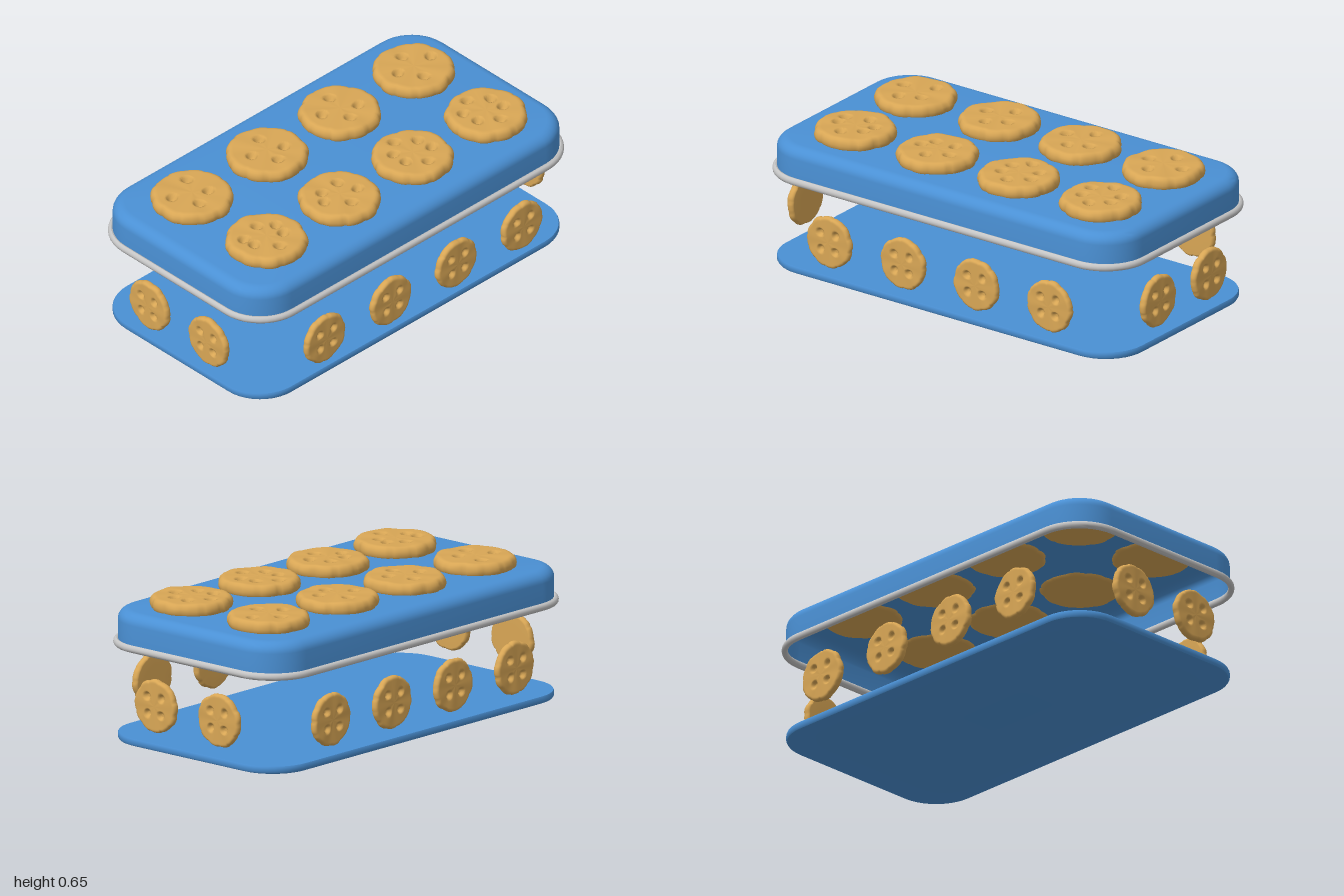
import * as THREE from 'three';
import { mergeVertices, toCreasedNormals } from 'three/addons/utils/BufferGeometryUtils.js';

const blue = new THREE.MeshStandardMaterial({ name: 'blue enamel', color: 0x4a90d4, side: THREE.DoubleSide });
const silver = new THREE.MeshStandardMaterial({ name: 'silver metal', color: 0xc4c4c4 });
const biscuit = new THREE.MeshStandardMaterial({ name: 'biscuit', color: 0xd8a655 });

// Rounded rectangle loop, counter-clockwise seen from above.
function roundedLoop(halfX, halfZ, radius, y) {
  const loop = [];
  const steps = 10;
  for (let corner = 0; corner < 4; corner++) {
    const cx = (corner === 0 || corner === 3 ? 1 : -1) * (halfX - radius);
    const cz = (corner < 2 ? -1 : 1) * (halfZ - radius);
    for (let i = 0; i <= steps; i++) {
      const a = (corner + i / steps) * Math.PI / 2;
      loop.push([cx + radius * Math.cos(a), y, cz - radius * Math.sin(a)]);
    }
  }
  return loop;
}

// Skin a stack of rounded rectangles given as [inset, y]; optionally close the ends.
function loft(halfX, halfZ, radius, sections, capBottom, capTop) {
  const pos = [];
  const index = [];
  sections.forEach(([d, y]) => pos.push(...roundedLoop(halfX - d, halfZ - d, radius - d, y)));
  const n = pos.length / sections.length;
  const last = (sections.length - 1) * n;
  const bottom = pos.push([0, sections[0][1], 0]) - 1;
  const top = pos.push([0, sections[sections.length - 1][1], 0]) - 1;
  for (let j = 0; j < n; j++) {
    const k = (j + 1) % n;
    for (let s = 0; s < last; s += n) {
      index.push(s + j, s + k, s + n + j, s + k, s + n + k, s + n + j);
    }
    if (capBottom) index.push(bottom, k, j);
    if (capTop) index.push(last + j, last + k, top);
  }
  const geo = new THREE.BufferGeometry();
  geo.setAttribute('position', new THREE.Float32BufferAttribute(pos.flat(), 3));
  geo.setIndex(index);
  return toCreasedNormals(geo, 0.6);
}

// Quarter round from a wall up to a flat top.
function roundOver(inset, y, width, height) {
  return Array.from({ length: 8 }, (_, i) => {
    const a = i / 7 * Math.PI / 2;
    return [inset + width * (1 - Math.cos(a)), y + height * Math.sin(a)];
  });
}

// Turned disc with a nibbled edge, uneven surface and pressed holes on its upper face.
function cookieGeometry(radius, thickness, holes, holeRadius, seed) {
  const h = thickness / 2;
  const edge = h * 0.75;
  const profile = [new THREE.Vector2(0, -h), new THREE.Vector2(radius * 0.5, -h)];
  for (let i = 0; i <= 8; i++) {
    const a = (i / 8 - 0.5) * Math.PI;
    profile.push(new THREE.Vector2(radius - edge + edge * Math.cos(a), h * Math.sin(a)));
  }
  const rings = 20;
  for (let i = rings - 1; i >= 0; i--) profile.push(new THREE.Vector2((radius - edge) * i / rings, h));

  let geo = new THREE.LatheGeometry(profile, 80);
  geo.deleteAttribute('uv');
  geo.deleteAttribute('normal');
  const p = geo.attributes.position;
  for (let i = 0; i < p.count; i++) {
    let x = p.getX(i), y = p.getY(i), z = p.getZ(i);
    const t = Math.hypot(x, z) / radius;
    const a = Math.atan2(x, z);
    const nick = (1 - Math.abs(Math.sin(6 * a + seed))) ** 3;
    const wobble = 0.012 * Math.sin(5 * a + 2 * seed) + 0.012 * Math.sin(9 * a - seed) - 0.045 * nick;
    const scale = 1 + 0.01 + wobble * t ** 4;
    x *= scale;
    z *= scale;
    if (y > 0) {
      y += h * 0.05 * t * (Math.sin(7 * a + seed) + Math.sin(4 * a - 3 * seed));
      for (const [hx, hz] of holes) {
        const d = Math.hypot(x - hx, z - hz);
        y -= thickness * 0.5 * (1 - THREE.MathUtils.smoothstep(d, holeRadius * 0.45, holeRadius * 1.15));
      }
    }
    p.setXYZ(i, x, y, z);
  }
  geo = mergeVertices(geo, 1e-5);
  geo.computeVertexNormals();
  return geo;
}

export function createModel() {
  const model = new THREE.Group();
  model.name = 'cookieTin';
  const add = (name, geo, mat, parent = model) => {
    const mesh = new THREE.Mesh(geo, mat);
    mesh.name = name;
    parent.add(mesh);
    return mesh;
  };

  // Base plate with a softened lower edge
  add('base', loft(0.98, 0.525, 0.2,
    [[0.015, 0], [0.005, 0.004], [0, 0.012], [0, 0.03], [0.003, 0.036]], true, true), blue);

  // Hollow lid, open below
  add('lid', loft(0.98, 0.525, 0.2,
    [[0, 0.445], ...roundOver(0, 0.55, 0.055, 0.05)], false, true), blue);

  // Rolled rim around the lid's lower edge
  const rim = Array.from({ length: 13 }, (_, i) => {
    const a = i / 12 * Math.PI * 2;
    return [0.014 - 0.014 * Math.cos(a), 0.447 + 0.017 * Math.sin(a)];
  });
  add('lidRim', loft(1, 0.546, 0.22, rim, false, false), silver);

  // Cookies on the lid: centre and hole positions relative to it
  const lidCookies = [
    [-0.67, -0.22, [[0.05, -0.085], [-0.09, -0.035], [0.06, 0.04], [-0.035, 0.08]]],
    [-0.21, -0.22, [[0.03, -0.08], [-0.08, -0.015], [0.07, 0.035], [-0.015, 0.085]]],
    [0.237, -0.22, [[0.02, -0.085], [-0.09, -0.02], [0.075, 0.04], [-0.015, 0.08]]],
    [0.69, -0.22, [[0.012, -0.085], [-0.085, -0.01], [0.105, 0], [-0.02, 0.085]]],
    [-0.66, 0.24, [[0.02, -0.08], [-0.09, -0.05], [0.085, -0.027], [-0.085, 0.01], [0.07, 0.035], [-0.01, 0.095]]],
    [-0.21, 0.24, [[0.05, -0.065], [-0.05, -0.06], [-0.09, -0.005], [0.085, 0.027], [-0.005, 0.08]]],
    [0.237, 0.24, [[-0.005, -0.11], [0.08, -0.048], [-0.07, -0.048], [-0.07, 0.03], [0.09, 0.03], [0.005, 0.095]]],
    [0.69, 0.24, [[-0.01, -0.11], [-0.09, -0.053], [0.075, -0.048], [-0.08, 0.03], [0.075, 0.03], [0, 0.09]]],
  ];
  const topGroup = new THREE.Group();
  topGroup.name = 'lidCookies';
  model.add(topGroup);
  lidCookies.forEach(([x, z, holes], i) => {
    const cookie = add('lidCookie', cookieGeometry(0.182, 0.064, holes, 0.025, 1.3 * i + 0.4), biscuit, topGroup);
    cookie.position.set(x, 0.62, z);
  });

  // Upright cookies around the sides, facing outwards
  const sideHoles = [[-0.042, -0.042], [0.042, -0.042], [-0.039, 0.036], [0.039, 0.036]];
  const sideGroup = new THREE.Group();
  sideGroup.name = 'sideCookies';
  model.add(sideGroup);
  let seed = 0.9;
  const addSide = (x, z, turn) => {
    const cookie = add('sideCookie', cookieGeometry(0.12, 0.034, sideHoles, 0.019, seed), biscuit, sideGroup);
    cookie.rotation.set(Math.PI / 2, turn, 0, 'YXZ');
    cookie.position.set(x, 0.207, z);
    seed += 0.83;
  };
  for (const x of [-0.585, -0.18, 0.222, 0.625]) {
    addSide(x, 0.53, 0);
    addSide(x, -0.53, Math.PI);
  }
  for (const z of [0.195, -0.18]) {
    addSide(0.968, z, Math.PI / 2);
    addSide(-0.968, z, -Math.PI / 2);
  }
  return model;
}
